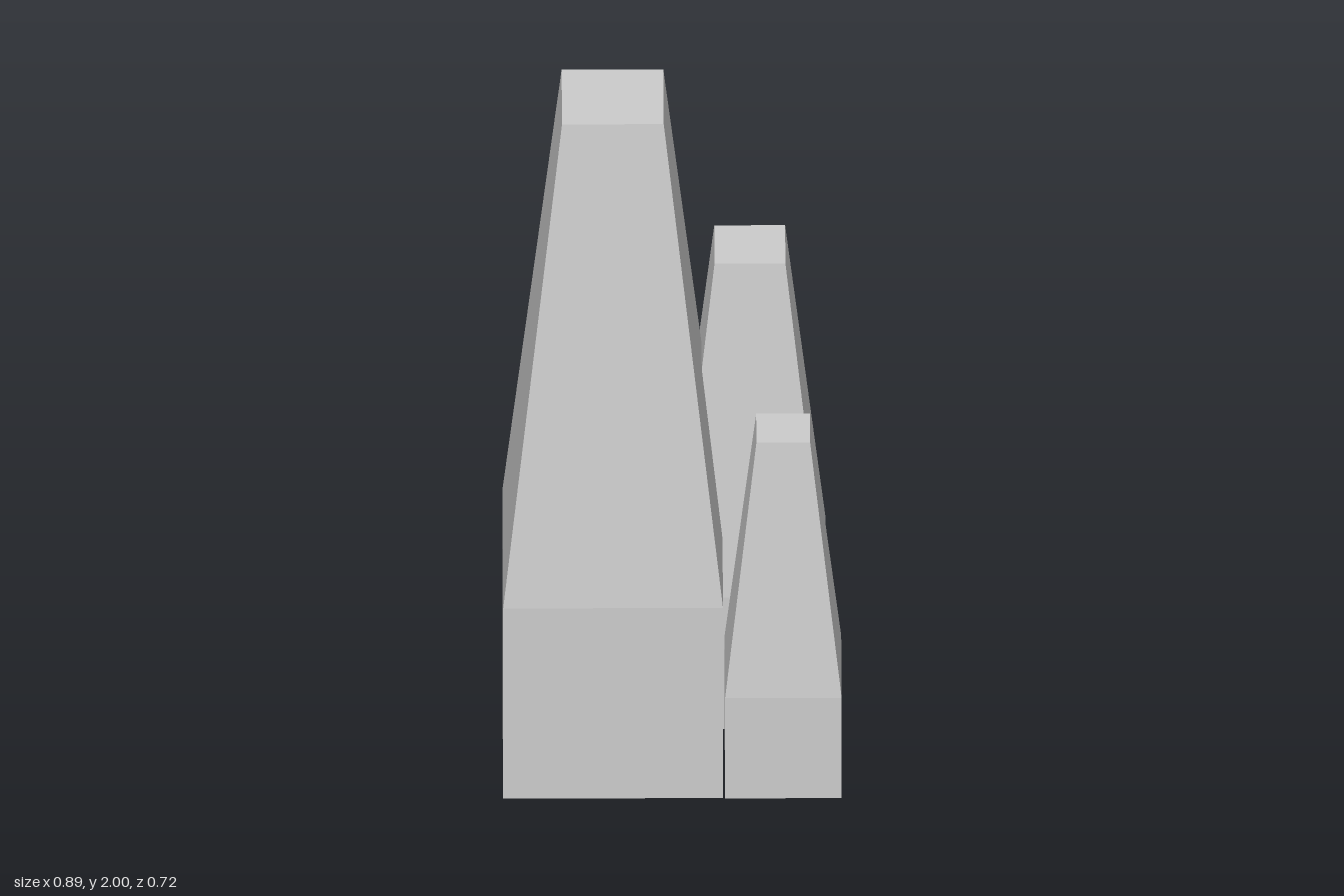
import * as THREE from 'three';

const material = new THREE.MeshStandardMaterial({ color: 0xcccccc, flatShading: true });

// Square tower: a straight base up to the shoulder, then a taper to a flat top
function makeTower({ name, x, z, bottom, shoulder, top, width, topWidth }) {
  const geometry = new THREE.BoxGeometry(width, 2, width, 1, 2, 1);
  const position = geometry.attributes.position;
  const levels = [bottom, shoulder, top];
  for (let i = 0; i < position.count; i++) {
    const level = Math.round(position.getY(i)) + 1;
    const scale = level === 2 ? topWidth / width : 1;
    position.setXYZ(i, position.getX(i) * scale, levels[level], position.getZ(i) * scale);
  }
  const flat = geometry.toNonIndexed();
  flat.computeVertexNormals();
  const mesh = new THREE.Mesh(flat, material);
  mesh.name = name;
  mesh.position.set(x, 0, z);
  return mesh;
}

export function createModel() {
  const group = new THREE.Group();
  group.name = 'towerCluster';
  const towers = [
    { name: 'tallTower', x: -0.157, z: 0.069, bottom: 0, shoulder: 0.592, top: 2, width: 0.577, topWidth: 0.267 },
    { name: 'middleTower', x: 0.204, z: -0.163, bottom: 0.01, shoulder: 0.42, top: 1.392, width: 0.398, topWidth: 0.186 },
    { name: 'smallTower', x: 0.29, z: 0.206, bottom: 0, shoulder: 0.312, top: 1.055, width: 0.306, topWidth: 0.141 },
  ];
  for (const tower of towers) group.add(makeTower(tower));
  return group;
}
